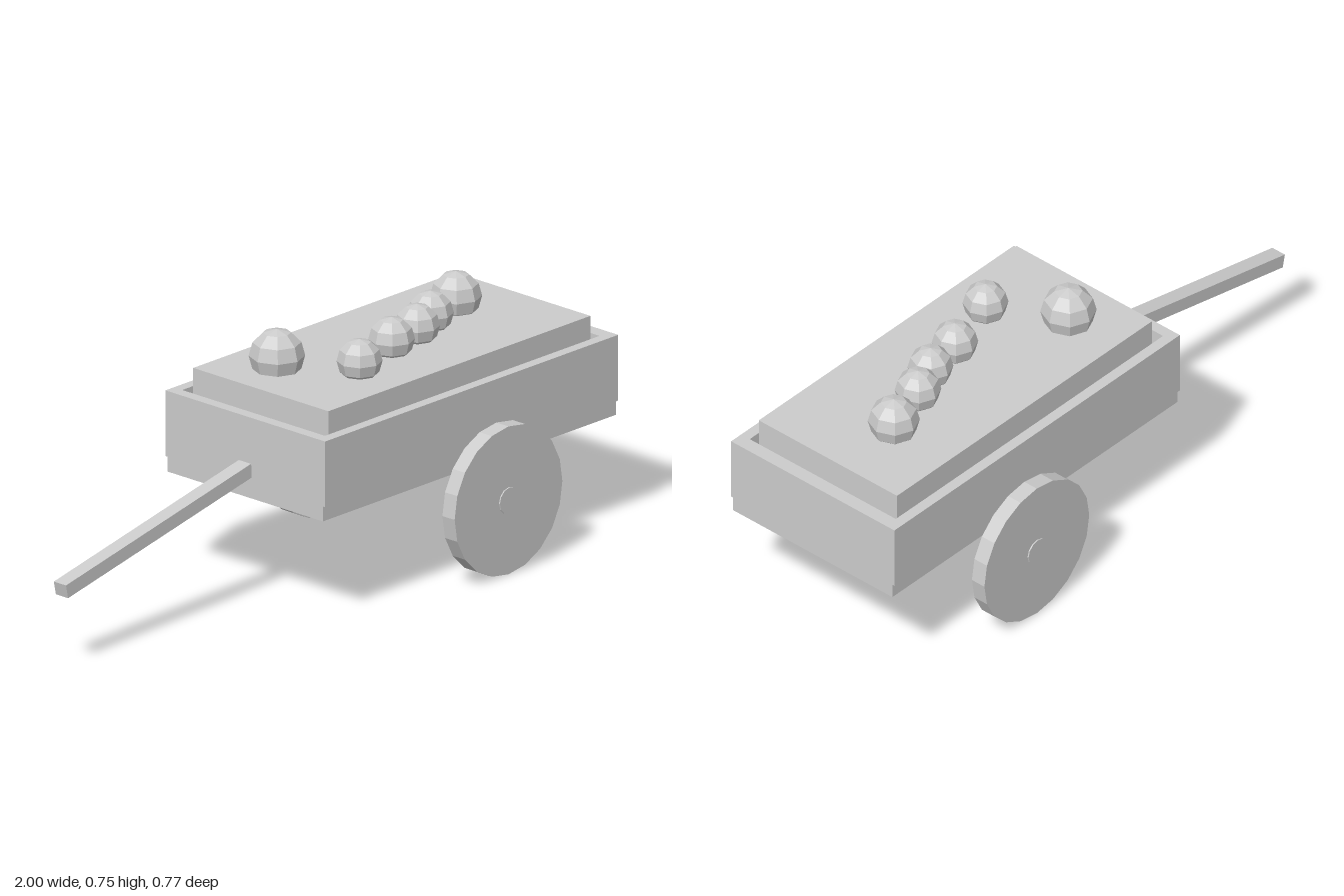
import * as THREE from 'three';

export function createModel() {
  const cart = new THREE.Group();
  cart.name = 'handcart';
  const material = new THREE.MeshStandardMaterial({ color: 0xcccccc, flatShading: true });

  function add(name, geometry, x, y, z) {
    const mesh = new THREE.Mesh(geometry, material);
    mesh.name = name;
    mesh.position.set(x, y, z);
    cart.add(mesh);
    return mesh;
  }
  // Box given by its extents along each axis
  function box(name, x0, x1, y0, y1, z0, z1) {
    return add(name, new THREE.BoxGeometry(x1 - x0, y1 - y0, z1 - z0),
      (x0 + x1) / 2, (y0 + y1) / 2, (z0 + z1) / 2);
  }

  // Open tray: floor, end boards and side boards that overhang the floor slightly
  box('floor', -0.225, 1, 0.325, 0.37, -0.305, 0.305);
  box('frontEndBoard', -0.225, -0.19, 0.37, 0.57, -0.28, 0.28);
  box('rearEndBoard', 0.957, 1, 0.37, 0.57, -0.28, 0.28);
  for (const side of [1, -1]) {
    const board = box('sideBoard', -0.225, 1, 0.37, 0.57, 0.28, 0.313);
    board.position.z *= side;
  }

  // Load block standing inside the tray
  box('load', -0.16, 0.935, 0.37, 0.633, -0.265, 0.265);

  // Wheels with short hubs
  const wheelGeometry = new THREE.CylinderGeometry(0.225, 0.225, 0.048, 20).rotateX(Math.PI / 2);
  const hubGeometry = new THREE.CylinderGeometry(0.04, 0.04, 0.056, 12).rotateX(Math.PI / 2);
  for (const side of [1, -1]) {
    add('wheel', wheelGeometry, 0.467, 0.225, side * 0.359);
    add('hub', hubGeometry, 0.467, 0.225, side * 0.359);
  }

  // Sloping pull bar
  const start = new THREE.Vector2(-0.995, 0.245);
  const end = new THREE.Vector2(-0.222, 0.41);
  const bar = end.clone().sub(start);
  const pullBar = add('pullBar', new THREE.BoxGeometry(bar.length(), 0.042, 0.048),
    (start.x + end.x) / 2, (start.y + end.y) / 2, 0);
  pullBar.rotation.z = bar.angle();

  // Faceted round goods resting in the load: x, z, radius
  const goods = [
    [0, -0.087, 0.081], [0.13, 0.115, 0.066], [0.326, 0.057, 0.067],
    [0.458, 0.033, 0.066], [0.562, -0.012, 0.067], [0.715, -0.056, 0.075],
  ];
  for (const [x, z, r] of goods) {
    add('roundGood', new THREE.SphereGeometry(r, 8, 6), x, 0.673, z);
  }

  return cart;
}
